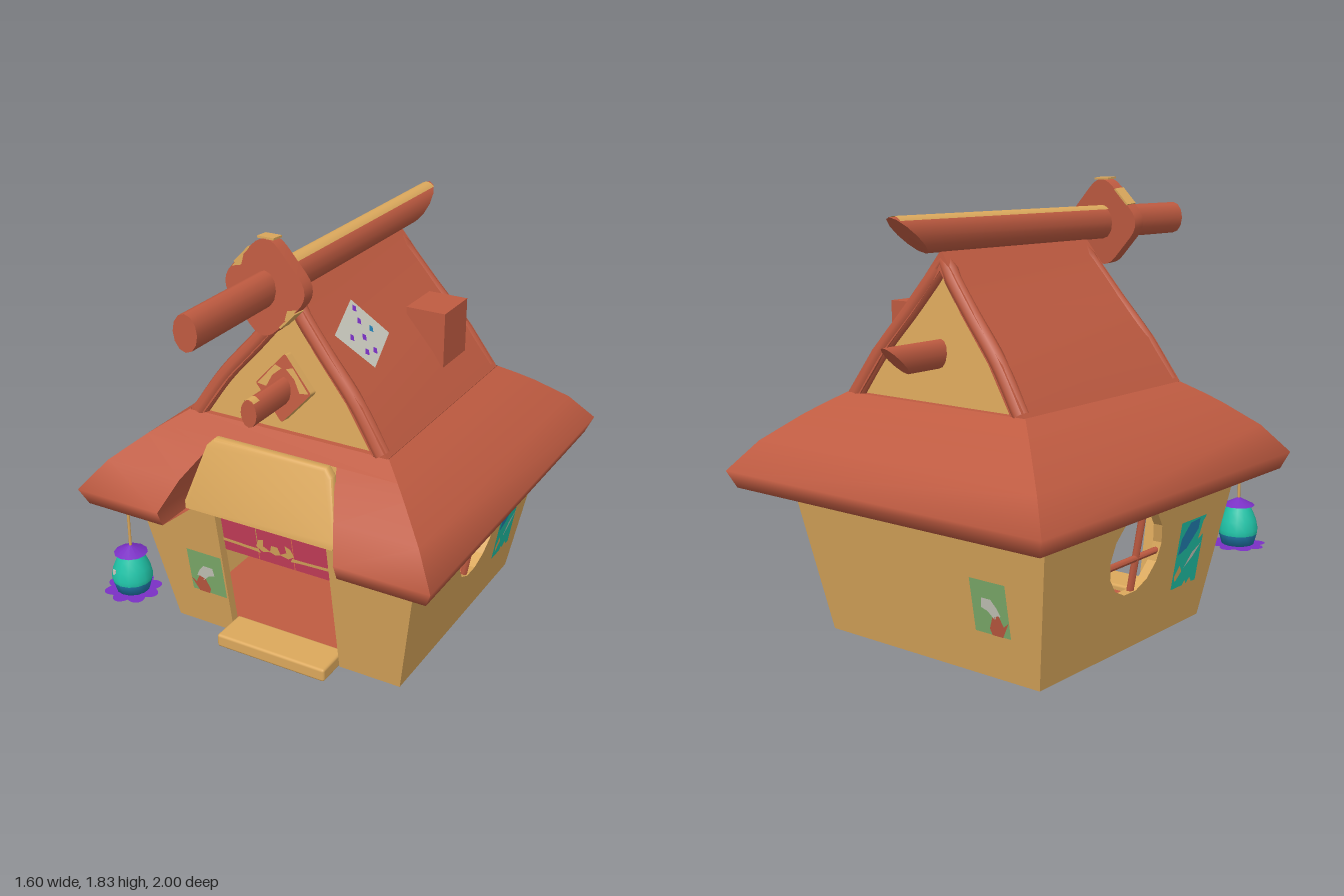
import * as THREE from 'three';
import { toCreasedNormals } from 'three/addons/utils/BufferGeometryUtils.js';
import { RoundedBoxGeometry } from 'three/addons/geometries/RoundedBoxGeometry.js';

const mat = (name, color) => Object.assign(new THREE.MeshStandardMaterial({ color, side: THREE.DoubleSide }), { name });
const red = mat('terracotta', 0xbf5b41), tan = mat('tan', 0xdba85c), pink = mat('pink cloth', 0xcb3f5c);
const teal = mat('teal', 0x20c4a8), blue = mat('blue', 0x2280b4), purple = mat('purple', 0x7a30c4);
const green = mat('green paper', 0x80b06e), grey = mat('pale grey', 0xc9c9bd);

const MID = -0.14, SLOPE = 0.175, HALF = 0.54, WALL = 0.04;

// Closed shape from [x, y] pairs
const poly = pts => new THREE.Shape(pts.map(p => new THREE.Vector2(...p)));
const rect = (x0, x1, y0, y1) => [[x0, y0], [x1, y0], [x1, y1], [x0, y1]];

// Move every vertex by a rule
function warp(geo, rule) {
  const p = geo.attributes.position, v = new THREE.Vector3();
  for (let i = 0; i < p.count; i++) {
    v.fromBufferAttribute(p, i);
    rule(v);
    p.setXYZ(i, v.x, v.y, v.z);
  }
  geo.computeVertexNormals();
  return geo;
}
const extrude = (shape, depth) => new THREE.ExtrudeGeometry(shape, { depth, bevelEnabled: false, curveSegments: 6 });

// Surface through rows of [x, y, z] points
function grid(rows) {
  const w = rows[0].length, index = [];
  for (let i = 0; i + 1 < rows.length; i++) for (let j = 0; j + 1 < w; j++) {
    const a = i * w + j;
    index.push(a, a + 1, a + w, a + 1, a + w + 1, a + w);
  }
  const g = new THREE.BufferGeometry();
  g.setAttribute('position', new THREE.Float32BufferAttribute(rows.flat(2), 3));
  g.setIndex(index);
  g.computeVertexNormals();
  return g;
}

// Upper roof outline, right half, from foot to ridge
const ROOF = [[0.45, 1], [0.33, 1.177], [0.184, 1.346], [0.077, 1.477], [0, 1.58]];
const INNER = [[0.385, 1], [0.265, 1.177], [0.119, 1.346], [0, 1.5]];
const mirrored = half => [...half, ...half.slice(0, -1).reverse().map(([x, y]) => [-x, y])];
const gableZ = (y, front) => front ? 0.375 - 0.095 * (y - 1) : -0.655 + 0.11 * (y - 1);
function roofX(y) {
  for (let i = 0; i < 4; i++) {
    const [x0, y0] = ROOF[i], [x1, y1] = ROOF[i + 1];
    if (y <= y1) return x0 + (x1 - x0) * (y - y0) / (y1 - y0);
  }
  return 0;
}

export function createModel() {
  const model = new THREE.Group();
  const add = (geo, material, name, parent = model) => {
    const m = new THREE.Mesh(geo, material);
    m.name = name;
    parent.add(m);
    return m;
  };

  // Places a flat geometry on one of the four leaning walls
  const mount = (geo, turn, offset = 0) => {
    warp(geo, v => { v.z += HALF + SLOPE * v.y + offset; });
    return geo.rotateY(turn * Math.PI / 2).translate(0, 0, MID);
  };
  const plate = (pts, turn, offset, material, name) => add(mount(new THREE.ShapeGeometry(poly(pts)), turn, offset), material, name);

  // Walls: 0 front, 1 right-hand view side, 2 back, 3 opposite side
  const H = 0.66, edge = y => HALF + SLOPE * y;
  for (const s of [-1, 1])
    add(mount(extrude(poly([[s * 0.26, 0], [s * edge(0), 0], [s * edge(H), H], [s * 0.26, H]]), WALL), 0, -WALL), tan, 'frontWall');
  for (const turn of [1, 2, 3]) {
    const shape = poly([[-edge(0), 0], [edge(0), 0], [edge(H), H], [-edge(H), H]]);
    if (turn !== 2) {
      const cx = turn === 1 ? 0.03 : -0.03, ring = [];
      for (let i = 0; i < 14; i++) {
        const a = i / 14 * Math.PI * 2;
        ring.push(new THREE.Vector2(cx + 0.174 * Math.cos(a), 0.42 + 0.174 * Math.sin(a)));
      }
      shape.holes.push(new THREE.Path(ring));
      // Window bars
      add(mount(new THREE.CylinderGeometry(0.015, 0.015, 0.36, 8).translate(0, 0.42, 0), turn, -0.02), red, 'windowBar');
      add(mount(new THREE.CylinderGeometry(0.015, 0.015, 0.36, 8).rotateZ(Math.PI / 2).translate(cx, 0.385, 0), turn, -0.02), red, 'windowBar');
      // Side poster
      plate([[0.275, 0.18], [0.36, 0.18], [0.375, 0.2], [0.39, 0.18], [0.41, 0.205], [0.43, 0.18], [0.46, 0.18], [0.46, 0.47], [0.275, 0.47]], turn, 0.004, teal, 'sidePoster');
      plate([[0.28, 0.33], [0.34, 0.35], [0.41, 0.42], [0.41, 0.465], [0.34, 0.46], [0.29, 0.4]], turn, 0.007, blue, 'posterPicture');
      plate([[0.29, 0.21], [0.33, 0.25], [0.31, 0.28], [0.28, 0.24]], turn, 0.007, tan, 'posterPicture');
      plate([[0.42, 0.37], [0.46, 0.39], [0.46, 0.465], [0.44, 0.45]], turn, 0.007, tan, 'posterPicture');
      plate([[0.34, 0.26], [0.4, 0.3], [0.45, 0.35], [0.39, 0.32]], turn, 0.007, grey, 'posterPicture');
    }
    add(mount(extrude(shape, WALL), turn, -WALL), tan, 'wall');
  }

  // Green posters on front and back
  for (const [turn, s] of [[0, 1], [2, -1]]) {
    const flip = pts => pts.map(([x, y]) => [x * s, y]);
    plate(flip(rect(-0.435, -0.265, 0.185, 0.4)), turn, 0.004, green, 'greenPoster');
    plate(flip([[-0.4, 0.27], [-0.37, 0.25], [-0.34, 0.28], [-0.31, 0.29], [-0.315, 0.33], [-0.36, 0.33], [-0.385, 0.3]]), turn, 0.007, grey, 'posterBlob');
    plate(flip([[-0.435, 0.25], [-0.41, 0.23], [-0.39, 0.27], [-0.36, 0.26], [-0.34, 0.21], [-0.35, 0.185], [-0.4, 0.185]]), turn, 0.007, red, 'posterCorner');
  }

  // Floor and doorstep
  add(new THREE.BoxGeometry(1.04, 0.03, 1.04).translate(0, 0.02, MID), red, 'floor');
  add(new RoundedBoxGeometry(0.52, 0.06, 0.17, 2, 0.012).translate(0, 0.03, 0.445), tan, 'doorstep');

  // Door curtain in three strips with a wavy trim and crest
  for (let i = -1; i <= 1; i++) plate(rect(i * 0.168 - 0.082, i * 0.168 + 0.082, 0.44, 0.74), 0, -0.025, pink, 'doorCurtain');
  for (const s of [-1, 1]) {
    plate([[0.07, 0.48], [0.12, 0.485], [0.25, 0.49], [0.25, 0.505], [0.13, 0.5], [0.08, 0.5]].map(([x, y]) => [x * s, y]), 0, -0.021, tan, 'curtainTrim');
    plate([[0.02, 0.5], [0.06, 0.49], [0.09, 0.51], [0.075, 0.545], [0.05, 0.555], [0.055, 0.52]].map(([x, y]) => [x * s, y]), 0, -0.021, tan, 'curtainTrim');
  }
  plate([[-0.025, 0.5], [0, 0.49], [0.025, 0.5], [0.015, 0.535], [-0.015, 0.535]], 0, -0.021, tan, 'curtainCrest');

  // Skirt roof: [outward distance, height, notch half-width]
  const skirt = [[0.145, 0.62, 0.38], [0.315, 0.62, 0.4], [0.345, 0.69, 0.4], [0.25, 0.81, 0.35], [0.13, 0.91, 0.29], [0.075, 0.95, 0.27], [0, 1.0, 0]];
  const hx = o => 0.455 + o, zf = o => 0.37 + o * 0.96, zb = o => -0.655 - o;
  add(grid(skirt.map(([o, y]) => [[-hx(o), y, zb(o)], [hx(o), y, zb(o)]])), red, 'skirtRoofBack');
  for (const s of [-1, 1]) {
    const low = skirt.slice(0, 6);
    add(grid(skirt.map(([o, y]) => [[s * hx(o), y, zf(o)], [s * hx(o), y, zb(o)]])), red, 'skirtRoofSide');
    add(grid(low.map(([o, y, n]) => [[s * hx(o), y, zf(o)], [s * n, y, zf(o)]])), red, 'skirtRoofFront');
    add(grid(low.slice(1).map(([o, y, n]) => [[s * n, y, zf(o)], [s * n, y, 0.42]])), red, 'notchSide');
  }
  add(grid(skirt.slice(5).map(([o, y]) => [[-hx(o), y, zf(o)], [hx(o), y, zf(o)]])), red, 'skirtRoofFrontTop');
  add(new THREE.BoxGeometry(0.9, 0.02, 1.02).translate(0, 0.988, -0.1425), red, 'atticFloor');

  // Leaning hood over the door
  const hood = new THREE.ExtrudeGeometry(poly([[-0.33, 0.69], [0.33, 0.69], [0.335, 0.71], [0.275, 0.93], [0.25, 0.955], [-0.25, 0.955], [-0.275, 0.93], [-0.335, 0.71]]),
    { depth: 0.025, bevelThickness: 0.01, bevelSize: 0.012, bevelSegments: 2 });
  add(toCreasedNormals(warp(hood, v => { v.z += 0.565 - (v.y - 0.68) * 0.34; }), 0.7), tan, 'doorHood');

  // Upper gable roof with rounded rims and recessed gable walls
  const shell = extrude(poly([...mirrored(ROOF), ...mirrored(INNER).reverse()]), 1);
  warp(shell, v => { v.z = THREE.MathUtils.lerp(gableZ(v.y, false), gableZ(v.y, true), v.z); });
  add(toCreasedNormals(shell, 0.5), red, 'upperRoof');
  for (const front of [true, false]) {
    const dir = front ? 1 : -1;
    const path = mirrored(ROOF).map(([x, y]) => new THREE.Vector3(x - Math.sign(x) * 0.034, y - (x ? 0 : 0.045), gableZ(y, front) - dir * 0.025));
    add(new THREE.TubeGeometry(new THREE.CatmullRomCurve3(path), 32, 0.034, 8), red, 'gableRim');
    const wall = new THREE.ShapeGeometry(poly(mirrored([[0.42, 1], [0.29, 1.177], [0.14, 1.346], [0, 1.53]])));
    add(warp(wall, v => { v.z = gableZ(v.y, front) - dir * 0.03; }), tan, 'gableWall');
  }

  // Beams along z with a slanted back tip and a worn top streak
  const beam = (name, y, rx, ry, z0, z1, tip, s0, s1) => {
    const tube = (r, a, b, ...rest) => new THREE.CylinderGeometry(1, 1, 1, 12, 1, ...rest).rotateX(Math.PI / 2)
      .scale(rx + r, ry + r, b - a).translate(0, y, (a + b) / 2);
    const body = warp(tube(0, z0, z1), v => { if (v.z < z0 + 0.01) v.z += tip * (y + ry - v.y) / (2 * ry); });
    add(toCreasedNormals(body, 0.8), red, name);
    add(tube(0.003, s0, s1, true, Math.PI * 0.78, Math.PI * 0.44), tan, name + 'Streak');
  };
  beam('ridgeBeam', 1.64, 0.05, 0.07, -0.865, 1.0, 0.19, -0.84, 0.44);
  beam('lowerBeam', 1.188, 0.035, 0.056, -0.91, 0.63, 0.13, 0.59, 0.63);

  // Rounded diamond outline
  const diamond = (w, h, k) => {
    const c = [[w, 0], [0, h], [-w, 0], [0, -h]], s = new THREE.Shape();
    const mix = (a, b, t) => [a[0] + (b[0] - a[0]) * t, a[1] + (b[1] - a[1]) * t];
    s.moveTo(...mix(c[0], c[3], k));
    c.forEach((p, i) => {
      const next = c[(i + 1) % 4];
      s.quadraticCurveTo(...p, ...mix(p, next, k));
      s.lineTo(...mix(next, p, k));
    });
    return s;
  };
  // Ridge plaque with worn edges
  const ridge = new THREE.Group();
  ridge.name = 'ridgePlaque';
  ridge.position.set(0, 1.643, 0.472);
  ridge.rotation.x = -0.07;
  model.add(ridge);
  add(toCreasedNormals(extrude(diamond(0.2, 0.215, 0.3), 0.06).translate(0, 0, -0.03), 0.6), red, 'plaqueBody', ridge);
  add(new THREE.BoxGeometry(0.07, 0.008, 0.06).translate(0, 0.185, 0), tan, 'plaqueTopWear', ridge);
  for (const s of [-1, 1]) {
    const wear = add(new THREE.BoxGeometry(0.09, 0.008, 0.062), tan, 'plaqueEdgeWear', ridge);
    wear.position.set(-s * 0.1, s * 0.1085, 0);
    wear.rotation.z = 0.82;
    add(new THREE.ShapeGeometry(poly([[-0.14, 0.06], [-0.1, 0.07], [-0.09, 0.11], [-0.1, 0.107]].map(([x, y]) => [x * s, y * s]))).translate(0, 0, 0.032), tan, 'plaqueFaceWear', ridge);
  }
  // Gable plaque
  const gable = new THREE.Group();
  gable.name = 'gablePlaque';
  gable.position.set(0, 1.195, 0.365);
  gable.rotation.x = -0.12;
  model.add(gable);
  add(extrude(diamond(0.125, 0.14, 0.06), 0.04).translate(0, 0, -0.02), [red, tan], 'plaqueBody', gable);
  for (const s of [-1, 1])
    add(new THREE.ShapeGeometry(poly([[0.115, 0], [0.04, 0.09], [0.01, 0.08], [0.05, 0.045], [0.075, -0.005]].map(([x, y]) => [x * s, y]))).translate(0, 0, 0.023), tan, 'plaqueFaceWear', gable);

  // Roof box
  add(new THREE.BoxGeometry(0.175, 0.235, 0.215).translate(0.2875, 1.238, -0.37), red, 'roofBox');

  // Paper patch on the roof slope, drawn in (-z, y)
  const onRoof = (pts, lift, material, name) =>
    add(warp(new THREE.ShapeGeometry(poly(pts)), v => { v.set(roofX(v.y) + lift, v.y + lift * 0.6, -v.x); }), material, name);
  onRoof([[-0.25, 1.395], [-0.15, 1.25], [0.065, 1.31], [-0.03, 1.46]], 0.008, grey, 'roofPatch');
  const specks = [[-0.17, 1.36], [-0.1, 1.34], [-0.07, 1.39], [-0.05, 1.43], [-0.14, 1.3], [-0.09, 1.29], [-0.03, 1.35]];
  specks.forEach(([x, y], i) => onRoof([[x - 0.016, y], [x, y - 0.011], [x + 0.016, y + 0.004], [x + 0.004, y + 0.014]], 0.012, i === 6 ? blue : purple, 'patchSpeck'));

  // Hanging lantern
  const lantern = new THREE.Group();
  lantern.name = 'lantern';
  lantern.position.set(-0.585, 0, 0.655);
  model.add(lantern);
  const lathe = pts => new THREE.LatheGeometry(pts.map(p => new THREE.Vector2(...p)), 14);
  add(new THREE.CylinderGeometry(0.006, 0.006, 0.19, 6).translate(0, 0.555, 0), tan, 'cord', lantern);
  add(new THREE.ConeGeometry(0.07, 0.035, 12).translate(0, 0.452, 0), purple, 'lanternCap', lantern);
  add(lathe([[0.083, 0.31], [0.085, 0.33], [0.077, 0.37], [0.06, 0.41], [0.045, 0.44]]), teal, 'lanternBody', lantern);
  add(lathe([[0, 0.264], [0.07, 0.264], [0.083, 0.31]]), blue, 'lanternBase', lantern);
  add(new THREE.BoxGeometry(0.014, 0.024, 0.006).translate(-0.035, 0.36, 0.07), grey, 'lanternGlint', lantern);
  const petals = [];
  for (let i = 0; i < 64; i++) {
    const a = i / 64 * Math.PI * 2, r = 0.095 + 0.025 * Math.abs(Math.cos(a * 4));
    petals.push([r * Math.cos(a), r * Math.sin(a)]);
  }
  add(new THREE.ShapeGeometry(poly(petals)).rotateX(-Math.PI / 2).translate(0, 0.26, 0), purple, 'lanternPetals', lantern);

  return model;
}
